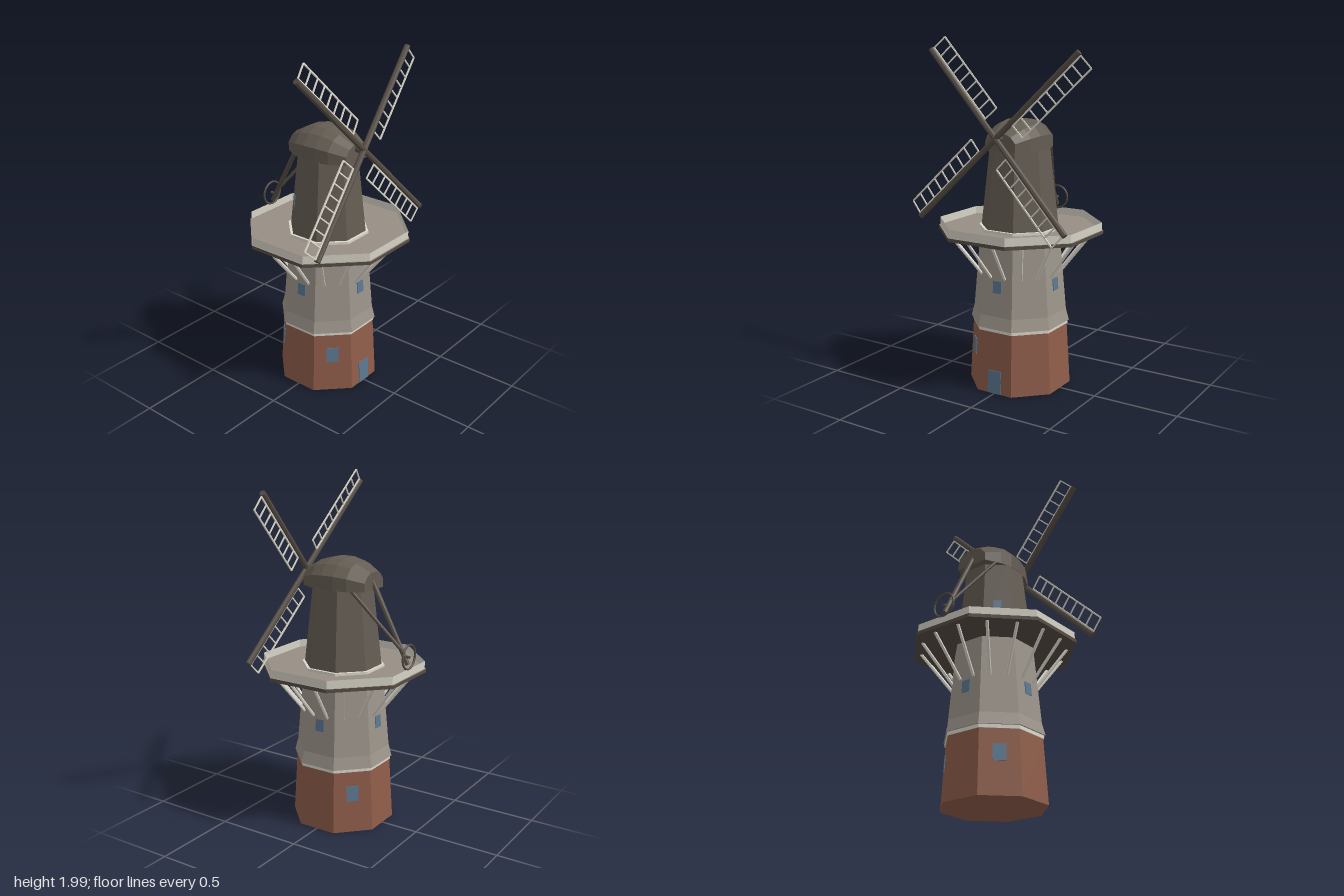
import * as THREE from 'three';

const mat = (name, color, extra = {}) => {
  const m = new THREE.MeshStandardMaterial({ color, flatShading: true, ...extra });
  m.name = name;
  return m;
};

export function createModel() {
  const brick = mat('brick red', 0x8f5d4a);
  const plaster = mat('grey cladding', 0x9c948a);
  const thatch = mat('dark thatch', 0x645c52);
  const floor = mat('gallery floor', 0x978e84);
  const timber = mat('dark timber', 0x564d44);
  const trim = mat('cream trim', 0xdcd8cc);
  const railPaint = mat('cream rail', 0xd6d2c6, { side: THREE.DoubleSide });
  const glass = mat('blue glass', 0x5b7891);

  const model = new THREE.Group();
  model.name = 'windmill';
  const add = (parent, name, geometry, material) => {
    const mesh = new THREE.Mesh(geometry, material);
    mesh.name = name;
    parent.add(mesh);
    return mesh;
  };

  // Eight-sided storey; a0 and a1 are distances from the axis to a flat side
  const octagon = (name, y0, y1, a0, a1, material, open = false) => {
    const k = 1 / Math.cos(Math.PI / 8);
    const g = new THREE.CylinderGeometry(a1 * k, a0 * k, y1 - y0, 8, 1, open);
    g.rotateY(Math.PI / 8).translate(0, (y0 + y1) / 2, 0);
    return add(model, name, g, material);
  };

  // Round bar between two points
  const bar = (parent, name, from, to, r, material, sides = 8) => {
    const a = new THREE.Vector3(...from), b = new THREE.Vector3(...to);
    const d = b.clone().sub(a);
    const m = add(parent, name, new THREE.CylinderGeometry(r, r, d.length(), sides), material);
    m.position.copy(a).add(b).multiplyScalar(0.5);
    m.quaternion.setFromUnitVectors(new THREE.Vector3(0, 1, 0), d.normalize());
    return m;
  };

  // Tower
  octagon('brickBase', 0, 0.36, 0.275, 0.255, brick);
  octagon('baseTrim', 0.36, 0.38, 0.259, 0.259, trim);
  octagon('flaredSkirt', 0.38, 0.45, 0.267, 0.25, plaster);
  octagon('middleTower', 0.45, 0.9, 0.25, 0.213, plaster);
  octagon('upperTower', 0.92, 1.385, 0.208, 0.16, thatch);

  // Gallery with a thin parapet
  octagon('galleryDeck', 0.9, 0.92, 0.442, 0.442, [timber, floor, timber]);
  octagon('galleryParapet', 0.92, 0.965, 0.434, 0.434, railPaint, true);
  octagon('upperTowerTrim', 0.92, 0.935, 0.221, 0.221, trim);
  for (let i = 0; i < 16; i++) {
    const a = (i + 0.5) * Math.PI / 8, s = Math.sin(a), c = Math.cos(a);
    bar(model, 'galleryStrut', [s * 0.235, 0.67, c * 0.235], [s * 0.415, 0.902, c * 0.415], 0.009, trim, 6);
  }

  // Windows and door: thin plates on the sloping sides; side counts eighths of a turn from the front
  const plate = (name, side, y0, y1, w, yA, aA, yB, aB) => {
    const y = (y0 + y1) / 2, pivot = new THREE.Group();
    pivot.name = name + 'Mount';
    pivot.rotation.y = side * Math.PI / 4;
    model.add(pivot);
    const m = add(pivot, name, new THREE.BoxGeometry(w, y1 - y0, 0.008), glass);
    m.position.set(0, y, aA + (aB - aA) * (y - yA) / (yB - yA));
    m.rotation.x = Math.atan((aB - aA) / (yB - yA));
  };
  plate('door', 0, 0.001, 0.135, 0.085, 0, 0.275, 0.36, 0.255);
  for (const side of [3, 5, 7]) plate('baseWindow', side, 0.185, 0.275, 0.07, 0, 0.275, 0.36, 0.255);
  for (const side of [0, 2, 4, 6]) plate('middleWindow', side, 0.585, 0.655, 0.054, 0.45, 0.25, 0.9, 0.213);
  plate('upperWindow', 5, 1.07, 1.135, 0.046, 0.92, 0.208, 1.385, 0.16);

  // Boat-shaped cap from scaled cross-sections
  const half = [[0.163, 0], [0.163, 0.08], [0.112, 0.137], [0.055, 0.163]];
  const section = [...half.map(([x, y]) => [-x, y]), ...half.slice().reverse()];
  const stations = [[-0.203, 0.6], [-0.115, 0.89], [-0.04, 1], [0.04, 1], [0.115, 0.89], [0.203, 0.6]];
  const pos = [], idx = [], n = section.length, last = (stations.length - 1) * n;
  stations.forEach(([z, s], i) => {
    section.forEach(([x, y], j) => {
      pos.push(x * s, 1.38 + y * s, z);
      if (i === stations.length - 1) return;
      const a = i * n + j, b = i * n + (j + 1) % n;
      idx.push(a, a + n, b, b, a + n, b + n);
    });
  });
  for (let j = 1; j < n - 1; j++) idx.push(0, j, j + 1, last, last + j + 1, last + j);
  const capGeo = new THREE.BufferGeometry();
  capGeo.setAttribute('position', new THREE.Float32BufferAttribute(pos, 3));
  capGeo.setIndex(idx);
  capGeo.computeVertexNormals();
  add(model, 'cap', capGeo, thatch);

  // Sails: two crossed stocks and four lattices, leaning back
  bar(model, 'windshaft', [0, 1.45, 0.15], [0, 1.455, 0.255], 0.022, timber);
  const sails = new THREE.Group();
  sails.name = 'sails';
  sails.position.set(0, 1.455, 0.248);
  sails.rotation.x = -0.135;
  model.add(sails);
  for (let k = 0; k < 4; k++) {
    const arm = new THREE.Group();
    arm.name = 'sailArm';
    arm.rotation.z = Math.PI / 4 + k * Math.PI / 2;
    sails.add(arm);
    bar(arm, 'stock', [0, 0, 0], [0, 0.667, 0], 0.017, timber);
    const lattice = new THREE.Group();
    lattice.name = 'lattice';
    lattice.rotation.y = 0.11;
    arm.add(lattice);
    const r0 = 0.127, r1 = 0.66, t0 = 0.02, t1 = 0.108, cells = 8;
    for (const t of [t0, t1]) {
      add(lattice, 'latticeRail', new THREE.BoxGeometry(0.008, r1 - r0, 0.008), trim)
        .position.set(t, (r0 + r1) / 2, 0);
    }
    for (let i = 0; i <= cells; i++) {
      add(lattice, 'latticeRung', new THREE.BoxGeometry(t1, 0.007, 0.007), trim)
        .position.set(t1 / 2, r0 + (r1 - r0) * i / cells, 0);
    }
  }

  // Tail pole, braces and winding wheel
  bar(model, 'tailPole', [0, 1.43, -0.19], [0, 0.985, -0.425], 0.014, timber);
  for (const s of [-1, 1]) {
    bar(model, 'tailBrace', [s * 0.125, 1.39, -0.13], [s * 0.006, 1.07, -0.38], 0.01, timber);
  }
  add(model, 'windingWheel', new THREE.TorusGeometry(0.069, 0.006, 6, 20), timber).position.set(0, 1.03, -0.43);
  bar(model, 'wheelAxle', [0, 1.03, -0.4], [0, 1.03, -0.437], 0.008, timber);

  return model;
}
